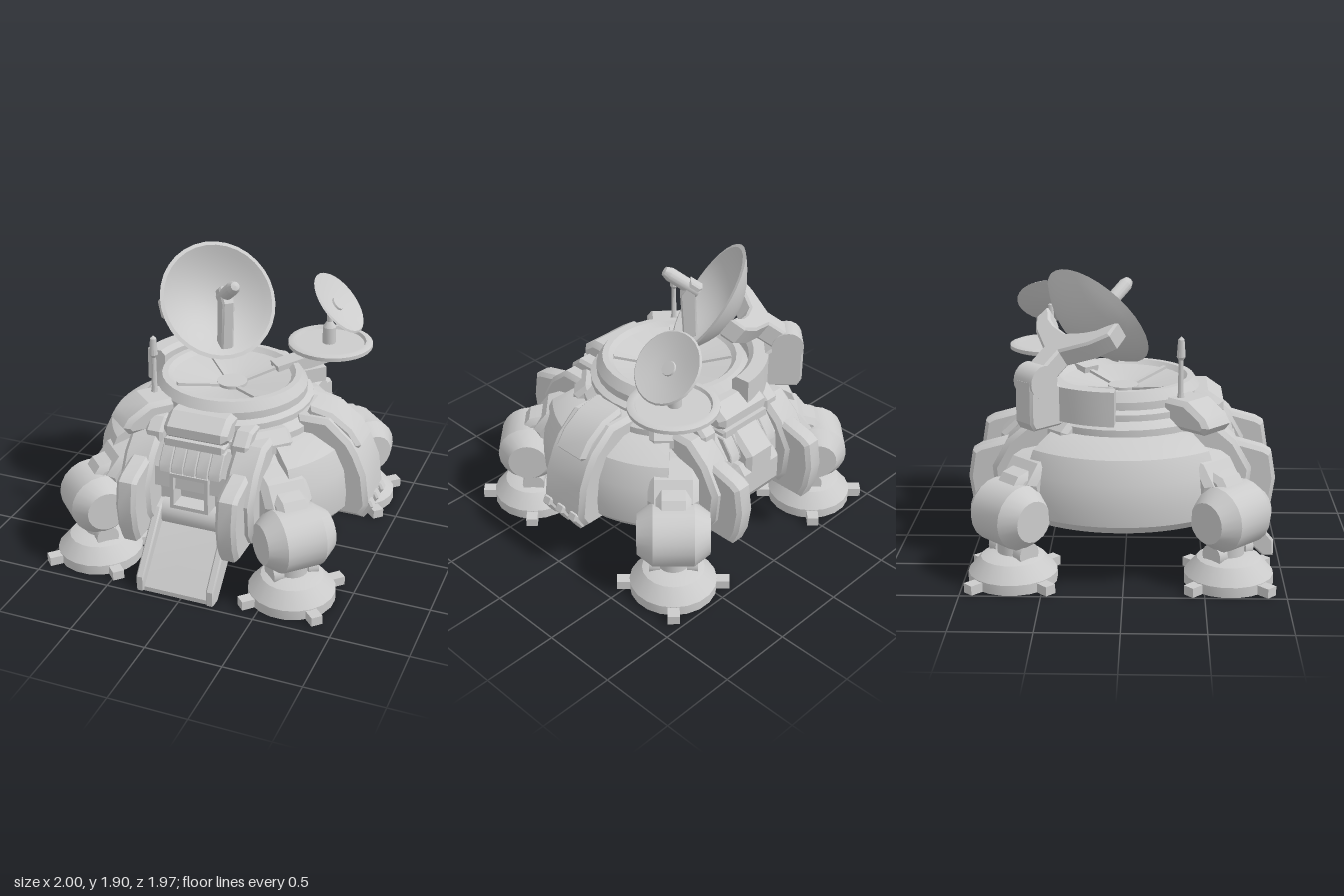
import * as THREE from 'three';
import { toCreasedNormals } from 'three/addons/utils/BufferGeometryUtils.js';

const solid = new THREE.MeshStandardMaterial({ color: 0xcccccc });
const thin = new THREE.MeshStandardMaterial({ color: 0xcccccc, side: THREE.DoubleSide });
const V = (pts) => pts.map(([x, y]) => new THREE.Vector2(x, y));

function add(parent, name, geo, pos = [0, 0, 0], rot = [0, 0, 0], mat = solid) {
  const mesh = new THREE.Mesh(toCreasedNormals(geo, 0.5), mat);
  mesh.name = name;
  mesh.position.set(...pos);
  mesh.rotation.set(...rot);
  parent.add(mesh);
  return mesh;
}
function sub(parent, name, pos = [0, 0, 0], rot = [0, 0, 0]) {
  const g = new THREE.Group();
  g.name = name;
  g.position.set(...pos);
  g.rotation.set(...rot);
  parent.add(g);
  return g;
}
const box = (w, h, d) => new THREE.BoxGeometry(w, h, d);
const cyl = (r1, r2, h, n = 20) => new THREE.CylinderGeometry(r1, r2, h, n);
const lathe = (pts, n = 28) => new THREE.LatheGeometry(V(pts), n);

// Extrudes a side outline [outward, up] to a bevelled slab of width w; outward becomes +z.
function slab(pts, w, b = 0.02) {
  const g = new THREE.ExtrudeGeometry(new THREE.Shape(V(pts)), {
    depth: w - 2 * b, bevelEnabled: b > 0, bevelSize: b, bevelThickness: b, bevelOffset: -b, bevelSegments: 1,
  });
  g.translate(0, 0, b - w / 2);
  return g.rotateY(-Math.PI / 2);
}
// Sweeps a closed outline [radius, up] through part of a turn, with end caps.
function arcSolid(parent, name, pts, mid, half, segments) {
  const g = sub(parent, name);
  add(g, name + 'Shell', new THREE.LatheGeometry(V([...pts, pts[0]]), segments, mid - half, 2 * half), undefined, undefined, thin);
  for (const phi of [mid - half, mid + half])
    add(g, name + 'End', new THREE.ShapeGeometry(new THREE.Shape(V(pts))), undefined, [0, phi - Math.PI / 2, 0], thin);
}

// Hull: core, stacked tiers, sunken roof bowl and bulging sides.
function buildHull(p) {
  add(p, 'hullCore', lathe([[0, 0.28], [0.47, 0.28], [0.6, 0.33], [0.6, 0.62], [0.68, 0.75], [0.62, 0.88], [0.6, 0.9], [0.6, 0.95],
    [0.54, 0.99], [0.54, 1.03], [0.5, 1.05], [0.5, 1.1], [0.46, 1.16], [0.42, 1.16], [0.39, 1.13], [0.1, 1.07],
    [0.1, 1.09], [0, 1.09]], 32), undefined, undefined, thin);
  for (const mid of [Math.PI / 2, -Math.PI / 2])
    arcSolid(p, 'sideBulge', [[0.46, 0.285], [0.84, 0.37], [0.88, 0.42], [0.885, 0.52], [0.865, 0.68], [0.8, 0.82],
      [0.65, 0.905], [0.46, 0.91]], mid, 0.75, 18);
  for (let i = 0; i < 4; i++) {
    const a = Math.PI / 4 + i * Math.PI / 2;
    const arm = sub(p, 'bowlSpoke', [0, 0, 0], [0, a, 0]);
    add(arm, 'spoke', box(0.03, 0.025, 0.3), [0, 1.105, 0.24], [-0.21, 0, 0]);
  }
}

// One end of the hull: wall, vent block, ribs and a pair of buttresses.
function buildEnd(p, isFront) {
  const g = sub(p, isFront ? 'frontEnd' : 'backEnd', [0, 0, 0], [0, isFront ? 0 : Math.PI, 0]);
  add(g, 'endWall', slab([[0, 0.33], [0.62, 0.33], [0.62, 0.61], [0.71, 0.63], [0.7, 0.76], [0.6, 0.9], [0, 0.9]], 0.84));
  add(g, 'ventBlock', slab([[0.35, 0.93], [0.6, 0.93], [0.65, 0.97], [0.65, 1.03], [0.55, 1.1], [0.35, 1.1]], 0.43, 0.035));
  add(g, 'ventSill', slab([[0.4, 0.9], [0.66, 0.9], [0.66, 0.95], [0.4, 0.95]], 0.41, 0.015));
  for (let i = -2; i <= 2; i++)
    add(g, 'ventRib', slab([[0.5, 0.75], [0.73, 0.75], [0.72, 0.8], [0.65, 0.9], [0.5, 0.9]], 0.082, 0.006), [i * 0.084, 0, 0]);
  for (const s of [-1, 1]) {
    add(g, 'buttressRoot', slab([[0.3, 0.36], [0.74, 0.36], [0.8, 0.45], [0.82, 0.66], [0.72, 0.84], [0.58, 0.96], [0.3, 0.96]],
      0.21, 0.03), [s * 0.35, 0, 0]);
    add(g, 'buttress', slab([[0.6, 0.31], [0.91, 0.31], [0.955, 0.42], [0.978, 0.58], [0.95, 0.75], [0.9, 0.78], [0.72, 0.83], [0.6, 0.83]],
      0.135, 0.025), [s * 0.335, 0, 0]);
    add(g, 'shoulderStep', slab([[0.3, 0.88], [0.62, 0.88], [0.62, 0.96], [0.54, 1.03], [0.3, 1.03]], 0.12, 0.02), [s * 0.29, 0, 0]);
  }
  if (isFront) {
    // Projecting door frame, and the boarding ramp.
    const frame = new THREE.Shape(V([[-0.13, 0.5], [0.13, 0.5], [0.13, 0.75], [-0.13, 0.75]]));
    frame.holes.push(new THREE.Path(V([[-0.105, 0.525], [-0.105, 0.725], [0.105, 0.725], [0.105, 0.525]])));
    add(g, 'doorFrame', new THREE.ExtrudeGeometry(frame, { depth: 0.14, bevelEnabled: false }), [0, 0, 0.6]);
    add(g, 'threshold', cyl(0.1, 0.1, 0.44, 20), [0, 0.4, 0.6], [0, 0, Math.PI / 2]);
    add(g, 'ramp', slab([[0.6, 0.42], [0.7, 0.34], [0.98, 0.03], [0.98, 0], [0.92, 0], [0.6, 0.3]], 0.46, 0));
    for (const s of [-1, 1])
      add(g, 'rampRail', slab([[0.6, 0.5], [0.7, 0.46], [0.99, 0.1], [0.99, 0], [0.92, 0], [0.6, 0.32]], 0.055, 0.01), [s * 0.24, 0, 0]);
  } else {
    add(g, 'backPanel', slab([[0.5, 0.42], [0.75, 0.42], [0.8, 0.5], [0.8, 0.66], [0.75, 0.72], [0.5, 0.72]], 0.4, 0.04));
    add(g, 'backRidge', slab([[0.5, 0.66], [0.8, 0.66], [0.8, 0.78], [0.66, 0.91], [0.5, 0.91]], 0.24, 0.03));
  }
}

// Leg: shoulder fairing with hood, barrel joint, ankle and a footpad with four lugs.
function buildLeg(p, angle) {
  const g = sub(p, 'leg', [0, 0, 0], [0, angle, 0]);
  add(g, 'shoulderFairing', slab([[0.5, 0.45], [0.88, 0.45], [0.93, 0.64], [0.84, 0.76], [0.62, 0.83], [0.5, 0.83]], 0.32, 0.04));
  add(g, 'fairingHood', slab([[0.75, 0.5], [0.95, 0.5], [1.01, 0.62], [0.96, 0.69], [0.8, 0.73], [0.75, 0.73]], 0.22, 0.035));
  add(g, 'fairingBase', slab([[0.4, 0.36], [0.78, 0.36], [0.8, 0.6], [0.72, 0.78], [0.56, 0.9], [0.4, 0.9]], 0.42, 0.04));
  add(g, 'barrelJoint', lathe([[0, -0.23], [0.13, -0.23], [0.205, -0.13], [0.205, 0.13], [0.13, 0.23], [0, 0.23]], 20),
    [0, 0.44, 0.97], [0, 0, Math.PI / 2], thin);
  add(g, 'ankle', cyl(0.1, 0.1, 0.2), [0, 0.23, 0.95]);
  for (const s of [-1, 1])
    add(g, 'ankleKnuckle', cyl(0.075, 0.075, 0.07, 16), [s * 0.12, 0.2, 0.95], [0, 0, Math.PI / 2]);
  add(g, 'footpad', lathe([[0, 0], [0.28, 0], [0.28, 0.065], [0.2, 0.16], [0.13, 0.185], [0, 0.185]], 20), [0, 0, 0.955], undefined, thin);
  for (let i = 0; i < 4; i++) {
    const lug = sub(g, 'footLug', [0, 0, 0.955], [0, i * Math.PI / 2, 0]);
    add(lug, 'lug', box(0.075, 0.06, 0.12), [0, 0.03, 0.3]);
  }
}

// Curved armoured hatch on the left side.
function buildHatch(p) {
  const g = sub(p, 'sideHatch', [0, 0, 0], [0, Math.PI / 2, 0]);
  add(g, 'hatchShell', slab([[0.48, 0.92], [0.52, 1.01], [0.72, 1.01], [0.87, 0.88], [0.92, 0.8], [0.98, 0.66], [1.01, 0.44],
    [0.96, 0.35], [0.8, 0.35], [0.8, 0.7]], 0.37, 0.03));
  add(g, 'hatchPad', slab([[0.55, 0.98], [0.58, 1.06], [0.73, 1.03], [0.86, 0.94], [0.93, 0.84], [0.9, 0.8], [0.8, 0.8]], 0.26, 0.025));
  for (const x of [-0.12, 0, 0.12])
    add(g, 'hatchTooth', slab([[0.85, 0.35], [0.98, 0.34], [1.04, 0.43], [1.02, 0.47], [0.85, 0.47]], 0.075, 0.012), [x, 0, 0]);
}

// Main dish on a forked arm hinged behind the roof.
function buildMainDish(p) {
  arcSolid(p, 'dishCollar', [[0.5, 0.98], [0.63, 0.98], [0.63, 1.2], [0.53, 1.2], [0.5, 1.17]], Math.PI * 1.25, 0.72, 14);
  const g = sub(p, 'mainDish', [0, 0, 0], [0, Math.PI * 1.25, 0]);
  add(g, 'hingePost', slab([[0.55, 0.95], [0.82, 0.95], [0.85, 1.0], [0.85, 1.26], [0.68, 1.26], [0.55, 1.16]], 0.16, 0.015));
  add(g, 'hingeDrum', cyl(0.105, 0.105, 0.17, 20), [0, 1.25, 0.745], [0, 0, Math.PI / 2]);
  const d = sub(g, 'dishHead', [0, 1.575, 0.226], [-0.955, 0, 0]);
  const bowl = [];
  for (let i = 0; i <= 10; i++) bowl.push([0.4 * i / 10, -0.2 * (1 - (i / 10) ** 2)]);
  for (let i = 10; i >= 0; i--) bowl.push([0.375 * i / 10, -0.175 + 0.18 * (i / 10) ** 2]);
  add(d, 'dishBowl', lathe(bowl, 32), undefined, undefined, thin);
  add(d, 'feedStrut', slab([[-0.35, -0.06], [-0.25, -0.1], [-0.02, 0.08], [0.05, 0.08], [0.05, 0.17], [-0.07, 0.17]], 0.085, 0.012));
  add(d, 'feedHorn', lathe([[0, 0.08], [0.045, 0.08], [0.045, 0.3], [0.03, 0.34], [0, 0.35]], 14), undefined, undefined, thin);
  const half = [[0.075, -0.6], [0.075, -0.41], [0.25, -0.3], [0.345, -0.2], [0.33, -0.09], [0.27, -0.13], [0.22, -0.18], [0.14, -0.22], [0, -0.26]];
  const fork = [...half, ...half.slice(0, -1).reverse().map(([x, y]) => [-x, y])];
  add(d, 'dishFork', slab(fork, 0.14, 0.015).rotateY(Math.PI / 2), [0, 0, 0.04]);
}

// Small dish on a round balcony plate.
function buildSmallDish(p) {
  const g = sub(p, 'smallDish', [0.51, 0, -0.51]);
  add(g, 'balconyPlate', lathe([[0, 1.21], [0.26, 1.21], [0.285, 1.22], [0.285, 1.245], [0.26, 1.255], [0.24, 1.255], [0.23, 1.235], [0, 1.235]], 32),
    undefined, undefined, thin);
  add(g, 'plateKnob', cyl(0.05, 0.045, 0.05, 16), [0, 1.19, 0]);
  add(g, 'balconyArm', box(0.12, 0.09, 0.4), [-0.15, 1.14, 0.15], [-0.15, Math.PI * 0.75, 0, 'YXZ']);
  add(g, 'armBracket', box(0.18, 0.1, 0.16), [-0.11, 1.05, 0.11], [0, Math.PI / 4, 0]);
  add(g, 'dishPost', lathe([[0, 1.22], [0.045, 1.22], [0.045, 1.35], [0.02, 1.39], [0.02, 1.52], [0, 1.52]], 16), [-0.01, 0, 0], undefined, thin);
  const d = sub(g, 'smallDishHead', [0.05, 1.53, 0], [0, 0, -0.82]);
  add(d, 'smallBowl', lathe([[0, -0.035], [0.12, -0.028], [0.235, 0], [0.225, 0.01], [0.12, -0.015], [0, -0.02]], 28), undefined, undefined, thin);
  add(d, 'smallHub', cyl(0.045, 0.05, 0.02, 16), [0, -0.015, 0]);
}

// Equipment boxes on the roof shoulders and the rod aerial.
function buildEquipment(p) {
  const g = sub(p, 'aerialBox', [0, 0, 0], [0, -0.73, 0]);
  add(g, 'aerialHousing', slab([[0.42, 0.92], [0.78, 0.92], [0.82, 0.97], [0.78, 1.03], [0.64, 1.11], [0.42, 1.11]], 0.26, 0.03));
  add(p, 'aerial', lathe([[0, 1.1], [0.025, 1.1], [0.018, 1.14], [0.016, 1.35], [0.028, 1.37], [0.02, 1.48], [0, 1.5]], 12),
    [-0.39, 0, 0.37], undefined, thin);
  for (const a of [Math.PI / 4, Math.PI * 0.75, Math.PI * 1.25]) {
    const b = sub(p, 'shoulderBox', [0, 0, 0], [0, a, 0]);
    add(b, 'shoulderHousing', slab([[0.4, 0.86], [0.65, 0.86], [0.65, 0.92], [0.57, 0.99], [0.4, 0.99]], 0.3, 0.03));
  }
}

export function createModel() {
  const model = new THREE.Group();
  model.name = 'landingBase';
  const p = sub(model, 'station', [-0.04, 0, -0.02]);
  buildHull(p);
  buildEnd(p, true);
  buildEnd(p, false);
  for (let i = 0; i < 4; i++) buildLeg(p, Math.PI / 4 + i * Math.PI / 2);
  buildHatch(p);
  buildMainDish(p);
  buildSmallDish(p);
  buildEquipment(p);
  return model;
}
